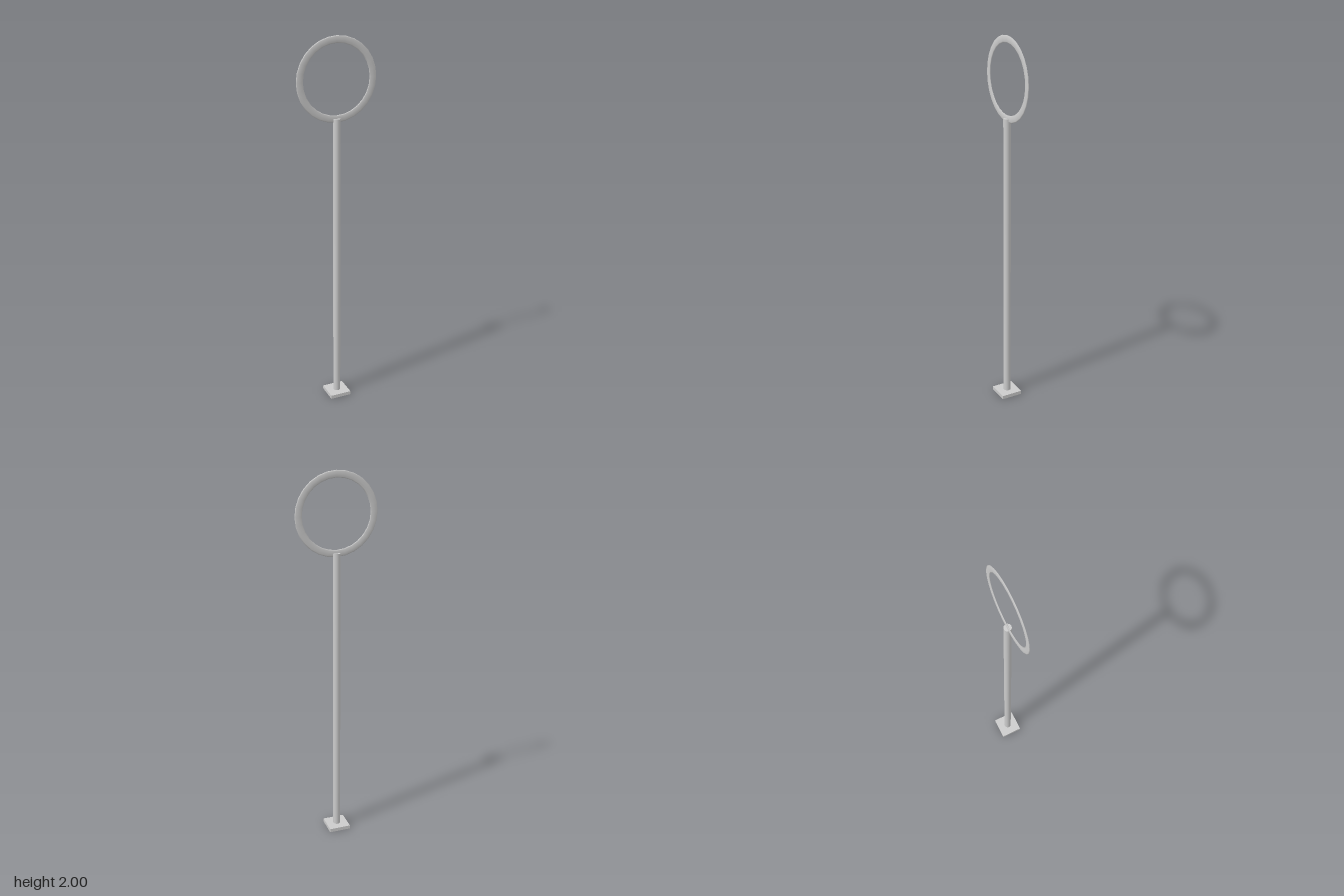
import * as THREE from 'three';

export function createModel() {
  const group = new THREE.Group();
  const material = new THREE.MeshStandardMaterial({ color: 0xcccccc });
  const add = (name, geometry, y) => {
    const mesh = new THREE.Mesh(geometry, material);
    mesh.name = name;
    mesh.position.y = y;
    group.add(mesh);
    return mesh;
  };

  // Square foot plate
  add('basePlate', new THREE.BoxGeometry(0.117, 0.02, 0.117), 0.01);

  // Round upright
  const bottom = 0.02, top = 1.588;
  add('pole', new THREE.CylinderGeometry(0.0195, 0.0195, top - bottom, 32), (top + bottom) / 2);

  // Thin hoop: a torus flattened front to back
  const hoop = new THREE.TorusGeometry(0.1975, 0.0185, 8, 28);
  hoop.rotateZ(Math.PI / 2);
  hoop.scale(1, 1, 0.19);
  add('hoop', hoop, 1.784);

  return group;
}
